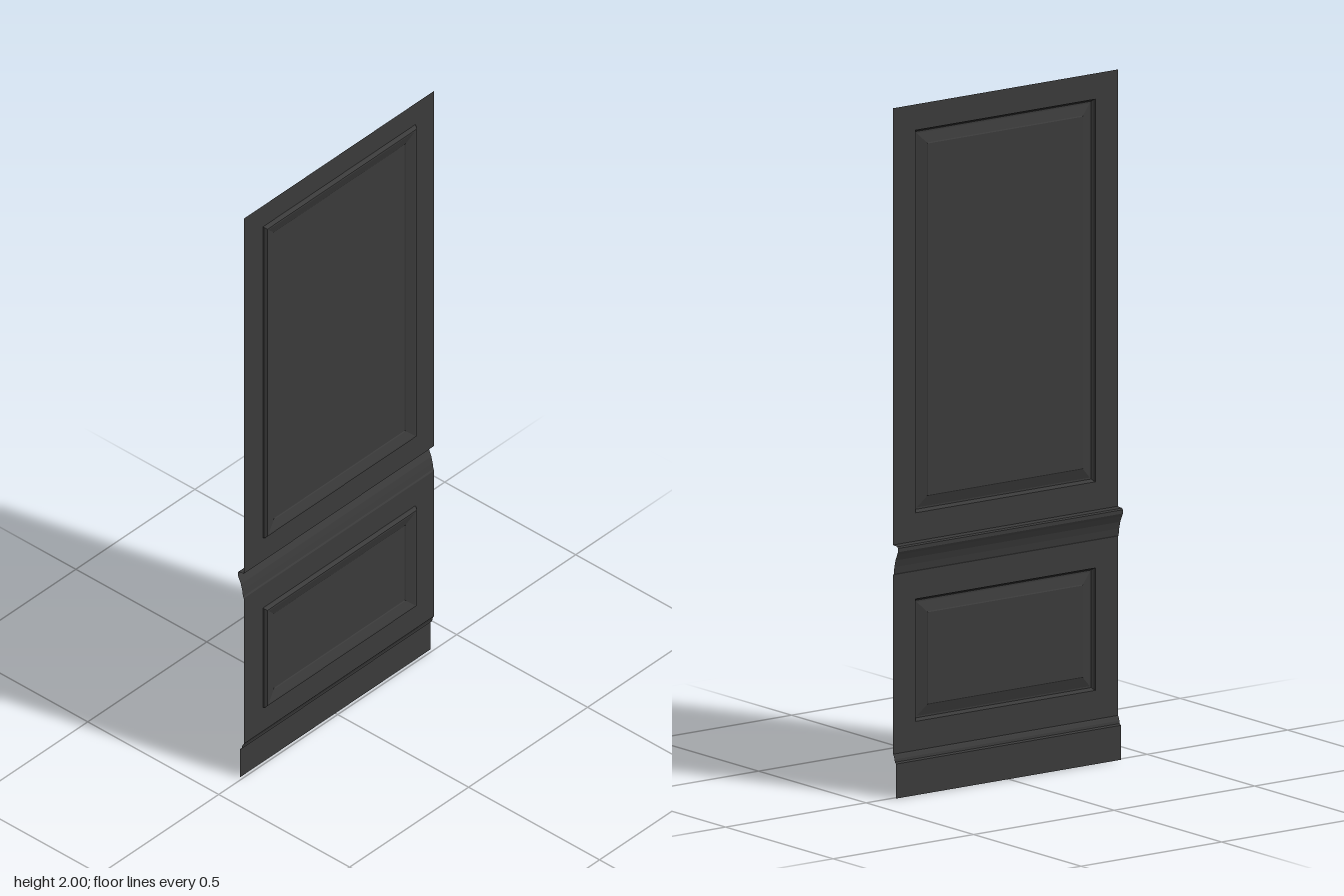
import * as THREE from 'three';

const HALF = 0.4;   // half width of the wall panel
const WALL = 0.005; // z of the flat sheet
const material = new THREE.MeshStandardMaterial({ color: 0x3a3a3a, side: THREE.DoubleSide });

// Flat-shaded sheet from quads, each with four corners counter-clockwise
function sheet(name, quads) {
  const points = quads.flatMap(([a, b, c, d]) => [a, b, c, a, c, d]);
  const geometry = new THREE.BufferGeometry();
  geometry.setAttribute('position', new THREE.Float32BufferAttribute(points.flat(), 3));
  geometry.computeVertexNormals();
  const mesh = new THREE.Mesh(geometry, material);
  mesh.name = name;
  return mesh;
}

const rectangle = (w, y0, y1, z) => [[-w, y0, z], [w, y0, z], [w, y1, z], [-w, y1, z]];

// Quads joining two rectangular loops, the first one outside
const ring = (outer, inner) => outer.map((p, i) => {
  const j = (i + 1) % 4;
  return [p, outer[j], inner[j], inner[i]];
});

// Flat surround, pressed groove with a wide bevel, and the central field
function panel(name, bottom, top, y0, y1) {
  const group = new THREE.Group();
  group.name = name;
  const profile = [[0, WALL], [0.002, 0.011], [0.007, 0.016], [0.012, 0.016], [0.042, 0.008], [0.045, 0.006]];
  const loops = profile.map(([inset, z]) => rectangle(0.32 - inset, y0 + inset, y1 - inset, z));
  group.add(sheet('surround', ring(rectangle(HALF, bottom, top, WALL), loops[0])));
  group.add(sheet('moulding', loops.slice(1).flatMap((loop, i) => ring(loops[i], loop))));
  group.add(sheet('field', [loops.at(-1)]));
  return group;
}

// Full-width moulding from a [y, z] profile running upwards
function band(name, profile) {
  return sheet(name, profile.slice(1).map(([y, z], i) => {
    const [py, pz] = profile[i];
    return [[-HALF, py, pz], [HALF, py, pz], [HALF, y, z], [-HALF, y, z]];
  }));
}

export function createModel() {
  const model = new THREE.Group();
  model.name = 'wallPanel';
  model.add(
    band('baseboard', [[0, -0.009], [0.1, -0.009], [0.104, -0.003], [0.112, -0.002], [0.122, 0.002], [0.126, WALL]]),
    panel('lowerPanel', 0.126, 0.645, 0.21, 0.565),
    band('chairRail', [[0.645, WALL], [0.65, 0.002], [0.67, -0.001], [0.69, -0.006],
      [0.708, -0.014], [0.716, -0.018], [0.727, -0.018], [0.731, -0.014], [0.733, WALL]]),
    panel('upperPanel', 0.733, 2, 0.815, 1.925),
  );
  return model;
}
